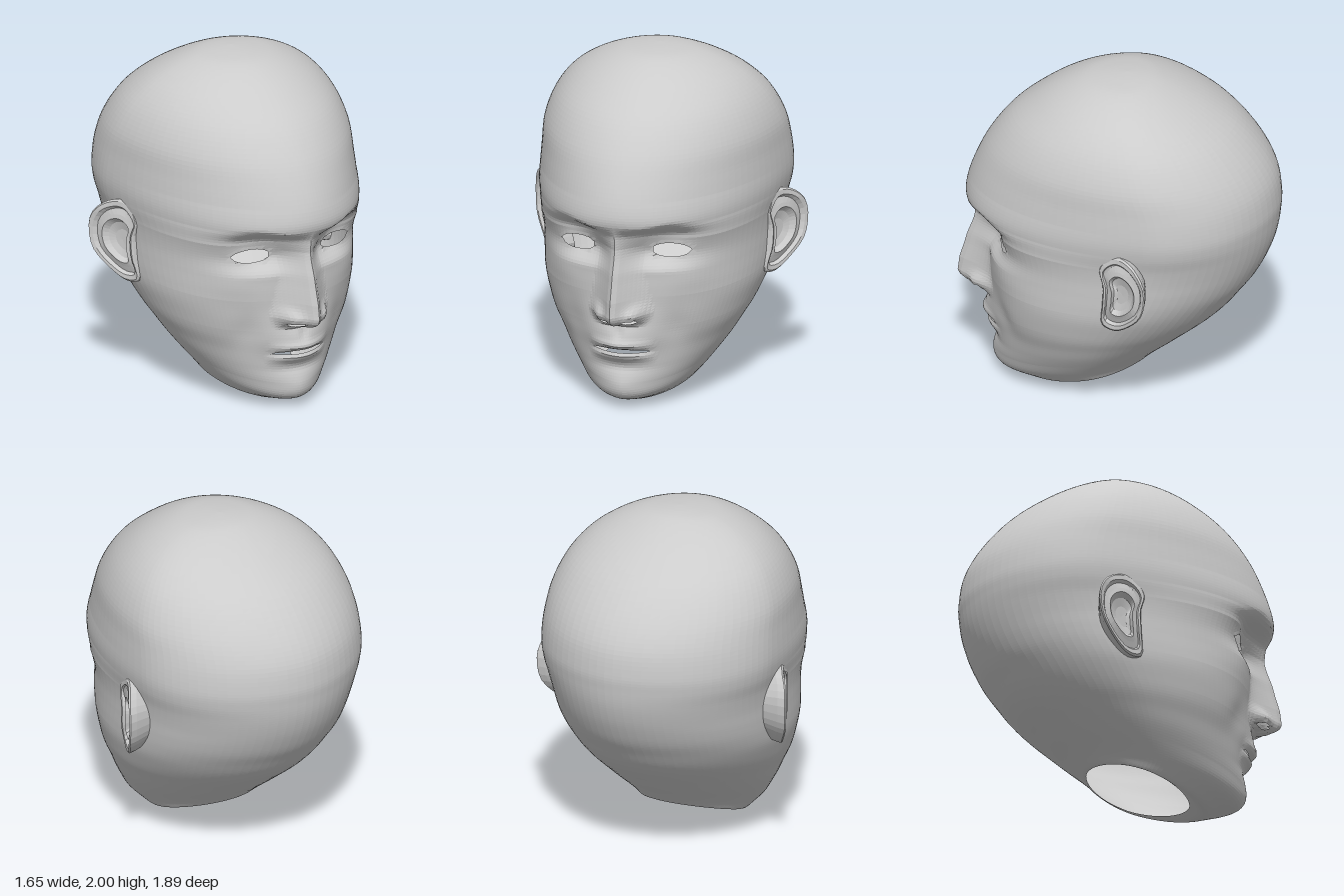
import * as THREE from 'three';

const material = new THREE.MeshStandardMaterial({ color: 0xcccccc, flatShading: true, side: THREE.DoubleSide });
const { smoothstep, clamp, lerp } = THREE.MathUtils;
const gauss = (d, s) => Math.exp(-((d / s) ** 2));

// Piecewise-linear lookup in a list of [key, value], keys ascending
function lookup(table, k) {
  if (k <= table[0][0]) return table[0][1];
  for (let i = 1; i < table.length; i++) {
    const [k0, v0] = table[i - 1], [k1, v1] = table[i];
    if (k <= k1) return lerp(v0, v1, (k - k0) / (k1 - k0));
  }
  return table[table.length - 1][1];
}

// Smooth blend of the rows of a section table
function sectionAt(rows, u) {
  const i = Math.min(Math.floor(u), rows.length - 2), t = u - i;
  const row = (k) => rows[clamp(k, 0, rows.length - 1)];
  return rows[0].map((_, c) => {
    const a = row(i - 1)[c], b = row(i)[c], d = row(i + 1)[c], e = row(i + 2)[c];
    const m0 = (d - a) / 2, m1 = (e - b) / 2;
    return (2 * t ** 3 - 3 * t * t + 1) * b + (t ** 3 - 2 * t * t + t) * m0
      + (3 * t * t - 2 * t ** 3) * d + (t ** 3 - t * t) * m1;
  });
}

// Skin closed rings of points, leaving out elliptical openings in the front
function skin(name, rings, flip = false, openings = []) {
  const n = rings[0].length, pts = rings.flat(), index = [];
  const inside = (p, o) => p.z > 0.3 && Math.hypot((p.x - o.x) / o.a, (p.y - o.y) / o.b) < 1;
  const kept = new Set(), edge = new Map();
  for (let i = 0; i < rings.length - 1; i++) {
    for (let j = 0; j < n; j++) {
      const k = (j + 1) % n;
      const q = [i * n + j, i * n + k, (i + 1) * n + k, (i + 1) * n + j];
      const mid = new THREE.Vector3();
      q.forEach((v) => mid.addScaledVector(pts[v], 0.25));
      const hole = openings.find((o) => inside(mid, o));
      if (hole) { q.forEach((v) => edge.set(v, hole)); continue; }
      q.forEach((v) => kept.add(v));
      const [a, b, c, d] = q;
      index.push(...(flip ? [a, c, b, a, d, c] : [a, b, c, a, c, d]));
    }
  }
  // Slide the rim of each opening up or down onto its ellipse
  edge.forEach((o, v) => {
    if (!kept.has(v)) return;
    const half = o.b * Math.sqrt(Math.max(0, 1 - ((pts[v].x - o.x) / o.a) ** 2));
    pts[v].y = o.y + (pts[v].y < o.y ? -half : half);
  });
  const geometry = new THREE.BufferGeometry().setFromPoints(pts);
  geometry.setIndex(index);
  geometry.computeVertexNormals();
  const mesh = new THREE.Mesh(geometry, material);
  mesh.name = name;
  return mesh;
}

// Head sections, neck opening to crown: front y, front z, back y, back z, half width, z of widest point
const sections = [
  [0.04, 0.4, 0.208, -0.2, 0.285, 0.09],
  [0.0, 0.48, 0.22, -0.22, 0.3, 0.1],
  [0.02, 0.58, 0.262, -0.27, 0.33, 0.12],
  [0.065, 0.7, 0.31, -0.33, 0.375, 0.12],
  [0.15, 0.725, 0.372, -0.41, 0.43, 0.1],
  [0.25, 0.72, 0.436, -0.49, 0.485, 0.08],
  [0.35, 0.72, 0.492, -0.56, 0.53, 0.05],
  [0.45, 0.73, 0.55, -0.625, 0.575, 0.02],
  [0.55, 0.74, 0.62, -0.69, 0.61, -0.03],
  [0.65, 0.74, 0.7, -0.75, 0.64, -0.08],
  [0.75, 0.745, 0.78, -0.81, 0.655, -0.13],
  [0.85, 0.75, 0.86, -0.855, 0.663, -0.17],
  [0.95, 0.77, 0.95, -0.895, 0.67, -0.2],
  [1.05, 0.82, 1.05, -0.925, 0.685, -0.23],
  [1.15, 0.885, 1.15, -0.94, 0.71, -0.25],
  [1.25, 0.885, 1.25, -0.945, 0.72, -0.25],
  [1.4, 0.835, 1.4, -0.92, 0.71, -0.23],
  [1.55, 0.76, 1.55, -0.84, 0.69, -0.18],
  [1.7, 0.645, 1.7, -0.71, 0.625, -0.14],
  [1.82, 0.5, 1.82, -0.55, 0.525, -0.1],
  [1.91, 0.36, 1.91, -0.39, 0.395, -0.07],
  [1.97, 0.22, 1.97, -0.25, 0.25, -0.05],
  [1.992, 0.09, 1.992, -0.16, 0.12, -0.05],
  [2.0, -0.05, 2.0, -0.05, 0, -0.05],
];

// By height: fullness of the front half (below 1 is squarer than an ellipse), nose ridge depth, nose half width
const frontPower = [[0, 1.14], [0.15, 1.12], [0.35, 1.03], [0.5, 0.96], [0.7, 0.9], [1.05, 0.9], [1.15, 1], [1.3, 1.05]];
const noseRidge = [[0.525, 0.74], [0.55, 0.86], [0.575, 0.92], [0.61, 0.945], [0.7, 0.935],
  [0.8, 0.905], [0.9, 0.88], [1.0, 0.858], [1.08, 0.865], [1.16, 0.885]];
const noseWidth = [[0.53, 0.16], [0.6, 0.19], [0.7, 0.17], [0.85, 0.14], [1.0, 0.13], [1.15, 0.22]];

// Forward offset of the face at (x, y), where base is the plain centre-line depth
function faceRelief(x, y, base) {
  const ax = Math.abs(x);
  let dz = 0;
  // nose wedge and wings
  if (y > 0.52 && y < 1.16) {
    const rise = Math.max(0, lookup(noseRidge, y) - base);
    dz += rise * clamp(1.05 - ax / lookup(noseWidth, y), 0, 1) ** 1.5;
  }
  dz += 0.045 * gauss(ax - 0.11, 0.045) * gauss(y - 0.605, 0.045);
  // eye socket under a sharp brow, with lids swelling around the eye
  const socket = smoothstep(y, 0.84, 0.98) * (1 - smoothstep(y, 1.07, 1.15 + 0.03 * gauss(ax - 0.32, 0.12)));
  dz -= 0.11 * socket * gauss(ax - 0.24, 0.17);
  dz += 0.03 * gauss(ax - 0.31, 0.1) * gauss(y - 0.975, 0.06);
  // cheekbone and hollow beside the mouth
  dz += 0.015 * gauss(ax - 0.4, 0.12) * gauss(y - 0.82, 0.1);
  dz -= 0.02 * gauss(ax - 0.3, 0.08) * gauss(y - 0.5, 0.12);
  // muzzle, lips, mouth line, crease and chin
  dz += 0.05 * gauss(ax, 0.17) * gauss(y - 0.44, 0.09);
  const lip = clamp(1 - (ax / 0.2) ** 2, 0, 1);
  dz += lip * (0.03 * gauss(y - 0.4, 0.03) + 0.035 * gauss(y - 0.33, 0.032) - 0.02 * gauss(y - 0.362, 0.012));
  dz -= 0.012 * gauss(ax, 0.03) * gauss(y - 0.48, 0.04);
  dz -= 0.01 * gauss(ax, 0.14) * gauss(y - 0.25, 0.03);
  dz += 0.012 * gauss(ax, 0.1) * gauss(y - 0.13, 0.06);
  return dz;
}

function makeHead() {
  const rings = [], columns = 112, steps = 6;
  const bend = (v, power) => Math.sign(v) * Math.abs(v) ** power;
  for (let i = 0; i <= (sections.length - 1) * steps; i++) {
    const [yf, zf, yb, zb, w, zc] = sectionAt(sections, i / steps);
    const ring = [];
    for (let j = 0; j < columns; j++) {
      const p = (j / columns) * Math.PI * 2, a = p - 0.5 * Math.sin(p); // finer at the face
      const power = Math.cos(a) > 0 ? lookup(frontPower, yf) : 1.06;
      const c = bend(Math.cos(a), power), x = w * bend(Math.sin(a), power);
      const z = zc + c * (c > 0 ? zf - zc : zc - zb);
      const y = zf - zb > 1e-4 ? lerp(yf, yb, (zf - z) / (zf - zb)) : yf;
      const relief = i > 2 * steps && y < 1.3 ? faceRelief(x, y, zf) * smoothstep(c, 0.2, 0.6) : 0;
      ring.push(new THREE.Vector3(x, y, z + relief));
    }
    rings.push(ring);
  }
  const openings = [{ x: 0, y: 0.362, a: 0.17, b: 0.009 }]; // mouth
  for (const s of [-1, 1]) {
    openings.push({ x: s * 0.28, y: 0.972, a: 0.11, b: 0.042 }); // eye
    openings.push({ x: s * 0.078, y: 0.562, a: 0.04, b: 0.014 }); // nostril
  }
  return skin('head', rings, false, openings);
}

// Ear: an outline flaring away from the head, lofted over the rim into the hollow
function makeEar(side) {
  const outline = new THREE.CatmullRomCurve3([[0.015, 1.06], [-0.01, 0.95], [-0.005, 0.82], [0.0, 0.68], [-0.08, 0.665],
    [-0.18, 0.735], [-0.26, 0.85], [-0.272, 1.02], [-0.2, 1.125], [-0.1, 1.16], [-0.03, 1.13]]
    .map(([z, y]) => new THREE.Vector3(0, y, z)), true).getPoints(36).slice(0, -1);
  // scale of the outline and depth below the rim
  const loops = [[0.84, 0.16], [0.98, 0.05], [1, 0.005], [0.95, -0.004], [0.84, 0.002], [0.78, 0.025],
    [0.64, 0.02], [0.54, 0.015], [0.44, 0.045], [0.25, 0.06], [0, 0.062]];
  const rings = loops.map(([s, depth]) => outline.map((p) => {
    const y = lerp(0.9, p.y, s), z = lerp(-0.125, p.z, s);
    const flare = 0.68 - 0.52 * z - 0.025 * smoothstep(y, 1.06, 1.17) - 0.03 * (1 - smoothstep(y, 0.65, 0.85));
    return new THREE.Vector3(side * (flare - depth), y, z);
  }));
  return skin(side > 0 ? 'leftEar' : 'rightEar', rings, side < 0);
}

export function createModel() {
  const group = new THREE.Group();
  group.name = 'humanHead';
  group.add(makeHead(), makeEar(1), makeEar(-1));
  return group;
}
